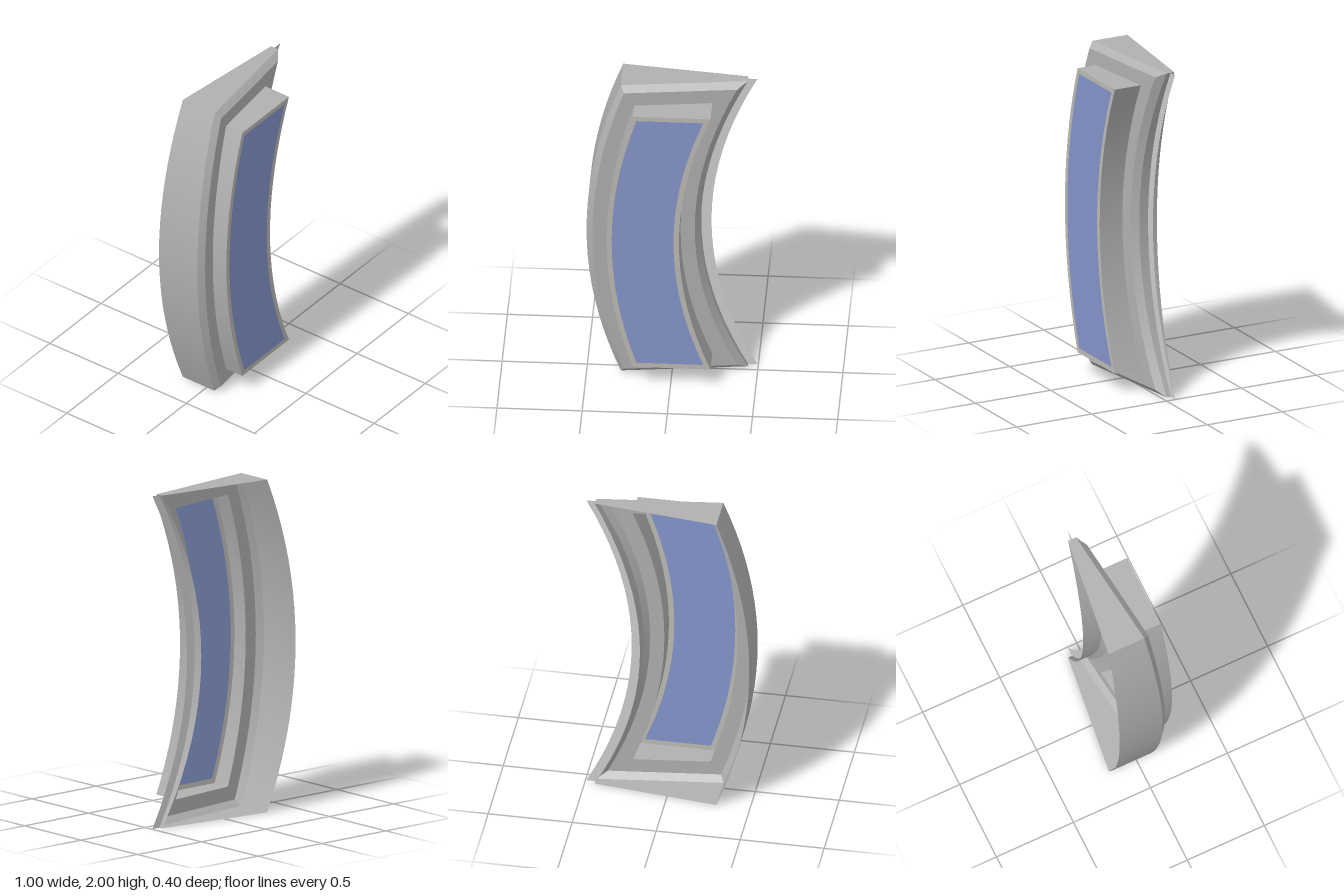
import * as THREE from 'three';

const SEG = 20;
const material = (name, color) => {
  const m = new THREE.MeshStandardMaterial({ color, side: THREE.DoubleSide });
  m.name = name;
  return m;
};

// Bowed edge: x runs from end to mid to end while y goes from y0 to 2 - y0
function bow(mid, end, y0, z) {
  const pts = [];
  for (let i = 0; i <= SEG; i++) {
    const t = (i / SEG) * 2 - 1;
    const x = mid + (end - mid) * t * t;
    pts.push(new THREE.Vector3(x, 1 + t * (1 - y0), z(x)));
  }
  return pts;
}

// Closed curved outline as four sides, counter-clockwise from the front
function outline(leftMid, leftEnd, rightMid, rightEnd, y0, z) {
  const a = bow(leftMid, leftEnd, y0, z);
  const b = bow(rightMid, rightEnd, y0, z);
  return [b, [b[SEG], a[SEG]], a.slice().reverse(), [a[0], b[0]]];
}

// Ruled surface between two rows, smooth along the rows
function strip(a, b, mat, name) {
  const pos = [], idx = [];
  a.forEach((p, i) => {
    pos.push(...p.toArray(), ...b[i].toArray());
    if (i < a.length - 1) {
      const k = i * 2;
      idx.push(k, k + 2, k + 1, k + 1, k + 2, k + 3);
    }
  });
  const g = new THREE.BufferGeometry();
  g.setAttribute('position', new THREE.Float32BufferAttribute(pos, 3));
  g.setIndex(idx);
  g.computeVertexNormals();
  const mesh = new THREE.Mesh(g, mat);
  mesh.name = name;
  return mesh;
}

// Four strips joining two outlines, sharp at the corners
function ring(outer, inner, mat, name) {
  const group = new THREE.Group();
  group.name = name;
  outer.forEach((side, i) => group.add(strip(side, inner[i], mat, name + 'Side')));
  return group;
}

export function createModel() {
  const model = new THREE.Group();
  model.name = 'curvedWindow';

  const metal = material('grey metal', 0xb0b0b0);
  const pale = material('pale grey flange', 0xcccccc);
  const trim = material('warm grey trim', 0xbcb9b3);
  const glass = material('blue glass', 0x8494ca);

  // Wedge-shaped depth planes
  const backZ = (x) => -0.139 + 0.122 * x;
  const rimZ = (x) => 0.019 - 0.122 * x;
  const bezelZ = (x) => 0.055 - 0.12 * x;
  const faceZ = () => 0.2;

  const back = outline(-0.5, -0.3, 0.165, 0.44, 0, backZ);
  const rim = outline(-0.5, -0.3, 0.165, 0.44, 0, rimZ);
  const bezelOuter = outline(-0.463, -0.28, 0.133, 0.38, 0.035, bezelZ);
  const bezelInner = outline(-0.375, -0.22, 0.05, 0.235, 0.123, bezelZ);
  const boxFront = outline(-0.375, -0.22, 0.05, 0.235, 0.123, faceZ);
  const pane = outline(-0.345, -0.2, 0.018, 0.193, 0.153, faceZ);

  // Open-backed frame, from the back edge to the raised window box
  model.add(ring(back, rim, metal, 'frameWall'));
  model.add(ring(rim, bezelOuter, metal, 'frameBevel'));
  model.add(ring(bezelOuter, bezelInner, metal, 'bezel'));
  model.add(ring(bezelInner, boxFront, metal, 'windowBox'));
  model.add(ring(boxFront, pane, trim, 'windowTrim'));

  // Glass between the bowed sides of the trim
  model.add(strip(pane[0], pane[2].slice().reverse(), glass, 'glassPane'));

  // Thin flat flange along the concave side
  const flangeZ = () => -0.06;
  model.add(strip(bow(0.225, 0.495, 0, flangeZ), bow(0.165, 0.44, 0, flangeZ), pale, 'flange'));

  return model;
}
